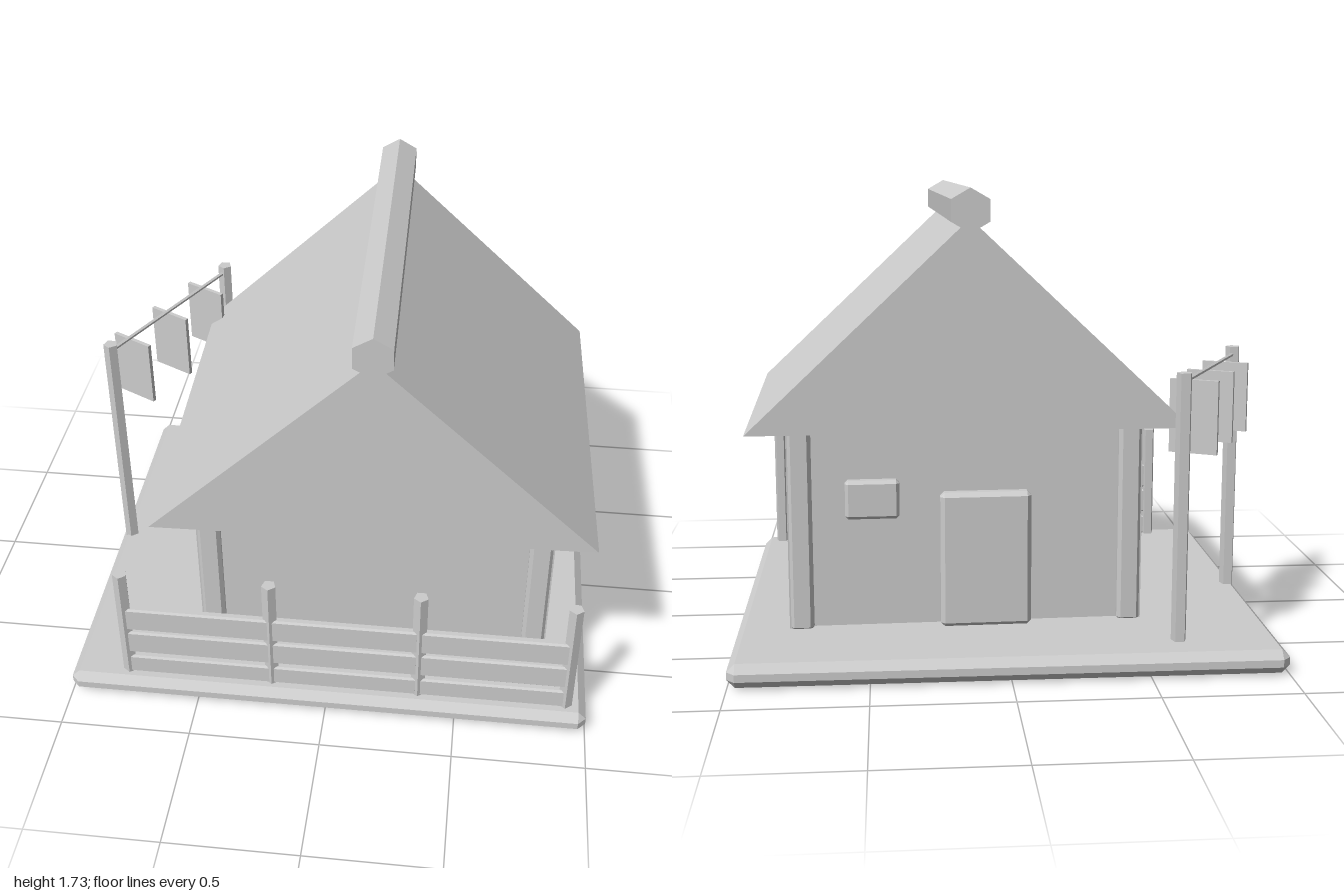
import * as THREE from 'three';
import { ConvexGeometry } from 'three/addons/geometries/ConvexGeometry.js';

const grey = new THREE.MeshStandardMaterial({ color: 0xcccccc, flatShading: true });
grey.name = 'plain grey';

function add(parent, name, geometry, x = 0, y = 0, z = 0) {
  const mesh = new THREE.Mesh(geometry, grey);
  mesh.name = name;
  mesh.position.set(x, y, z);
  parent.add(mesh);
  return mesh;
}

// Box with all edges cut by a flat chamfer c
function chamferBox(w, h, d, c) {
  const points = [];
  for (const sx of [-1, 1]) for (const sy of [-1, 1]) for (const sz of [-1, 1]) {
    const [x, y, z] = [w / 2, h / 2, d / 2];
    points.push(
      new THREE.Vector3(sx * x, sy * (y - c), sz * (z - c)),
      new THREE.Vector3(sx * (x - c), sy * y, sz * (z - c)),
      new THREE.Vector3(sx * (x - c), sy * (y - c), sz * z));
  }
  return new ConvexGeometry(points);
}

function buildHouse() {
  const house = new THREE.Group();
  house.name = 'house';
  house.position.set(0.152, 0, 0.078);
  house.rotation.y = 0.025;

  // Walls: long side panels, recessed front and back
  const front = 0.57, back = -0.53, mid = (front + back) / 2, depth = front - back;
  for (const s of [-1, 1]) {
    add(house, 'sideWall', new THREE.BoxGeometry(0.03, 0.79, depth - 0.015), s * 0.648, 0.485, mid);
    // Corner posts
    for (const z of [front - 0.04, back + 0.04])
      add(house, 'cornerPost', chamferBox(0.088, 0.8, 0.088, 0.014), s * 0.616, 0.485, z);
  }
  for (const [z, s] of [[front, 1], [back, -1]]) {
    add(house, 'endWall', new THREE.BoxGeometry(1.2, 0.69, 0.03), 0, 0.475, z - s * 0.035);
    add(house, 'lintel', new THREE.BoxGeometry(1.2, 0.06, 0.03), 0, 0.85, z - s * 0.027);
    add(house, 'sill', new THREE.BoxGeometry(1.2, 0.05, 0.03), 0, 0.11, z - s * 0.045);
  }

  // Door and window on the back wall
  add(house, 'door', chamferBox(0.34, 0.515, 0.06, 0.016), -0.07, 0.35, back - 0.006);
  add(house, 'window', chamferBox(0.2, 0.145, 0.05, 0.012), 0.35, 0.587, back - 0.004);

  // Solid gabled roof
  const gable = new THREE.Shape([
    new THREE.Vector2(-0.798, 0.868), new THREE.Vector2(0.798, 0.868), new THREE.Vector2(0, 1.62)]);
  add(house, 'roof', new THREE.ExtrudeGeometry(gable, { depth: 1.44, bevelEnabled: false }), 0, 0, -0.72);

  // Six-sided ridge log
  const log = new THREE.CylinderGeometry(0.078, 0.078, 1.484, 6).rotateX(Math.PI / 2);
  add(house, 'ridgeLog', log, 0, 1.648, 0);
  return house;
}

function buildFence() {
  const fence = new THREE.Group();
  fence.name = 'fence';
  const xs = [-0.772, -0.21, 0.355, 0.918];
  xs.forEach((x, i) => {
    add(fence, 'fencePost', new THREE.CylinderGeometry(0.028, 0.028, 0.51, 5), x, 0.332, 0.773);
    if (i === 3) return;
    // Three boards in each bay
    for (const y of [0.135, 0.25, 0.368])
      add(fence, 'fenceBoard', chamferBox(0.56, y < 0.2 ? 0.085 : 0.106, 0.032, 0.007), x + 0.282, y, 0.778);
  });
  return fence;
}

function buildClothesline() {
  const line = new THREE.Group();
  line.name = 'clothesline';
  const a = new THREE.Vector3(-0.958, 1.048, -0.02), b = new THREE.Vector3(-0.62, 1.048, -0.69);
  for (const p of [a, b])
    add(line, 'linePole', new THREE.CylinderGeometry(0.029, 0.029, 1.08, 5), p.x, 0.54, p.z);
  add(line, 'rope', new THREE.TubeGeometry(new THREE.LineCurve3(a, b), 1, 0.008, 6));
  // Cloths hang across the rope
  for (const t of [0.17, 0.49, 0.81]) {
    const p = a.clone().lerp(b, t);
    const cloth = add(line, 'cloth', new THREE.BoxGeometry(0.18, 0.272, 0.016), p.x, 0.898, p.z);
    cloth.rotation.y = -0.48;
  }
  return line;
}

export function createModel() {
  const model = new THREE.Group();
  model.name = 'farmhouse';
  add(model, 'groundSlab', chamferBox(2, 0.088, 1.69, 0.03), 0, 0.05, 0);
  model.add(buildHouse(), buildFence(), buildClothesline());
  return model;
}
